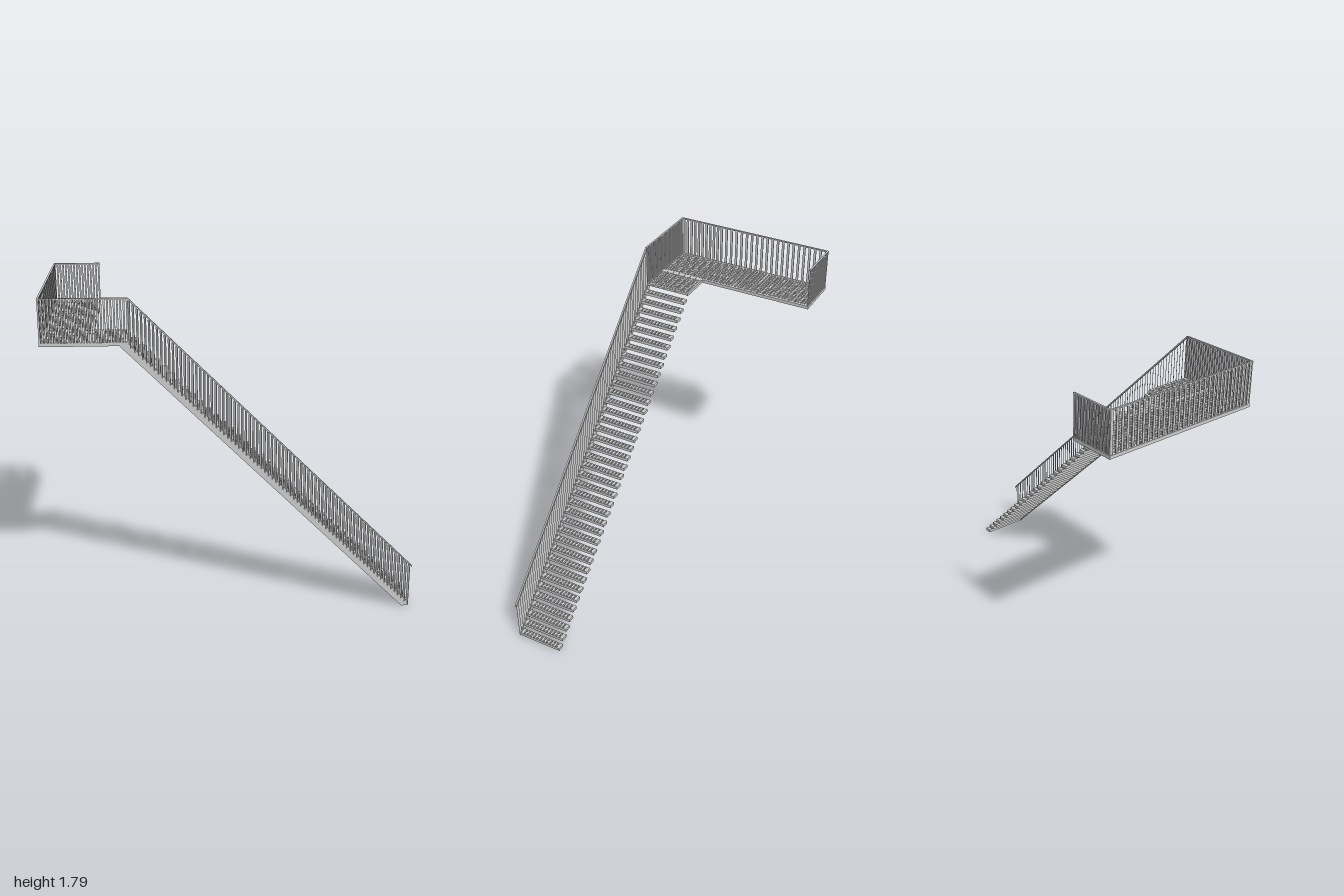
import * as THREE from 'three';
import { mergeGeometries } from 'three/addons/utils/BufferGeometryUtils.js';

const mat = new THREE.MeshStandardMaterial({ color: 0xcccccc, flatShading: true });

const FLOOR = 1.558, UNDER = 1.539, RAIL = 1.787;
const LEFT = -1, INNER = -0.735, TOP_X = -0.545;
const FRONT = 0.472, BACK = -0.472, STEP_BACK = 0.207;
const STEPS = 38, RISE = 0.0404;

export function createModel() {
  const root = new THREE.Group();

  const add = (name, geometry) => {
    const mesh = new THREE.Mesh(geometry, mat);
    mesh.name = name;
    root.add(mesh);
  };

  // Box given by its minimum and maximum corners
  const box = (x0, y0, z0, x1, y1, z1) =>
    new THREE.BoxGeometry(x1 - x0, y1 - y0, z1 - z0)
      .translate((x0 + x1) / 2, (y0 + y1) / 2, (z0 + z1) / 2);

  // Side profile in x and y, extruded through a thin range of z
  const plate = (points, z, depth) =>
    new THREE.ExtrudeGeometry(
      new THREE.Shape(points.map(([x, y]) => new THREE.Vector2(x, y))),
      { depth, bevelEnabled: false }
    ).translate(0, 0, z - depth / 2);

  // Flat plank along x with two rows of round holes, centred, lying in xz
  const plank = (length, width, thick) => {
    const l = length / 2, w = width / 2;
    const shape = new THREE.Shape();
    shape.moveTo(-l, -w).lineTo(l, -w).lineTo(l, w).lineTo(-l, w).closePath();
    const count = Math.floor((length - 0.01) / 0.0215);
    for (const row of [-0.0092, 0.0092]) {
      for (let i = 0; i < count; i++) {
        const hole = new THREE.Path();
        hole.absarc((i - (count - 1) / 2) * 0.0215, row, 0.006, 0, Math.PI * 2, true);
        shape.holes.push(hole);
      }
    }
    return new THREE.ExtrudeGeometry(shape, { depth: thick, bevelEnabled: false, curveSegments: 8 })
      .translate(0, 0, -thick / 2)
      .rotateX(-Math.PI / 2);
  };

  // Treads, cantilevered from the single stringer
  const tread = plank(FRONT - STEP_BACK, 0.039, 0.018).rotateY(Math.PI / 2);
  const treads = [];
  for (let i = 0; i < STEPS; i++) {
    treads.push(tread.clone().translate(0.967 - i * RISE, 0.012 + i * RISE, (FRONT + STEP_BACK) / 2));
  }
  add('treads', mergeGeometries(treads));

  // Sloped stringer running on into the front edge of the landing
  add('stringer', plate([
    [0.95, 0], [0.988, 0], [0.988, 0.022], [TOP_X - 0.005, FLOOR],
    [LEFT, FLOOR], [LEFT, UNDER], [-0.59, UNDER]
  ], FRONT, 0.007));

  // Landing planks, in the long platform and the link to the stair
  const planks = [];
  const lay = (x0, x1, z0, z1) => {
    const n = Math.round((z1 - z0) / RISE), pitch = (z1 - z0) / n;
    const board = plank(x1 - x0, pitch - 0.002, 0.014);
    for (let i = 0; i < n; i++) {
      planks.push(board.clone().translate((x0 + x1) / 2, FLOOR - 0.008, z0 + (i + 0.5) * pitch));
    }
  };
  lay(LEFT, INNER, BACK, STEP_BACK);
  lay(LEFT, INNER, STEP_BACK, FRONT);
  lay(INNER, TOP_X, STEP_BACK, FRONT);
  add('landingPlanks', mergeGeometries(planks));

  // Edge frame of the landing
  const t = 0.006;
  add('landingFrame', mergeGeometries([
    box(LEFT, UNDER, BACK, LEFT + t, FLOOR, FRONT),
    box(LEFT, UNDER, BACK - t / 2, INNER, FLOOR, BACK + t / 2),
    box(INNER - t, UNDER, BACK, INNER, FLOOR, STEP_BACK),
    box(INNER - t, UNDER, STEP_BACK - t, TOP_X, FLOOR, STEP_BACK)
  ]));

  // Vertical bars between two points of the landing edge
  const bars = (name, x0, z0, x1, z1, count, alongX) => {
    const w = alongX ? 0.0045 : 0.0025, d = alongX ? 0.0025 : 0.007;
    const list = [];
    for (let i = 0; i <= count; i++) {
      const x = THREE.MathUtils.lerp(x0, x1, i / count);
      const z = THREE.MathUtils.lerp(z0, z1, i / count);
      list.push(box(x - w, UNDER, z - d, x + w, RAIL, z + d));
    }
    add(name, mergeGeometries(list));
  };
  const edge = LEFT + 0.005;
  bars('frontBalusters', edge, FRONT, TOP_X, FRONT, 27, true);
  bars('backBalusters', edge, BACK, INNER - 0.005, BACK, 16, true);
  bars('sideBalustersFront', edge, FRONT - 0.01, edge, STEP_BACK, 10, false);
  bars('sideBalustersBack', edge, STEP_BACK - 0.033, edge, BACK + 0.01, 19, false);

  // Stair balusters follow the slope; flat bars turned like louvres
  const stairBars = [];
  const n = STEPS * 2;
  for (let i = 0; i <= n; i++) {
    const x = THREE.MathUtils.lerp(0.983, TOP_X + 0.01, i / n);
    const y0 = Math.max(0, 0.99 - x), y1 = 1.238 - x;
    stairBars.push(new THREE.BoxGeometry(0.014, y1 - y0, 0.003)
      .rotateY(-Math.PI / 4)
      .translate(x, (y0 + y1) / 2, FRONT));
  }
  add('stairBalusters', mergeGeometries(stairBars));

  // Handrails
  const r = 0.0035;
  add('frontHandrail', plate([
    [1, 0.238], [1, 0.2475], [-0.541, RAIL + r], [LEFT, RAIL + r],
    [LEFT, RAIL - r], [-0.545, RAIL - r]
  ], FRONT, 0.01));
  add('sideHandrail', box(LEFT, RAIL - r, BACK, LEFT + 0.01, RAIL + r, FRONT));
  add('backHandrail', box(LEFT, RAIL - r, BACK - 0.005, INNER, RAIL + r, BACK + 0.005));

  return root;
}
